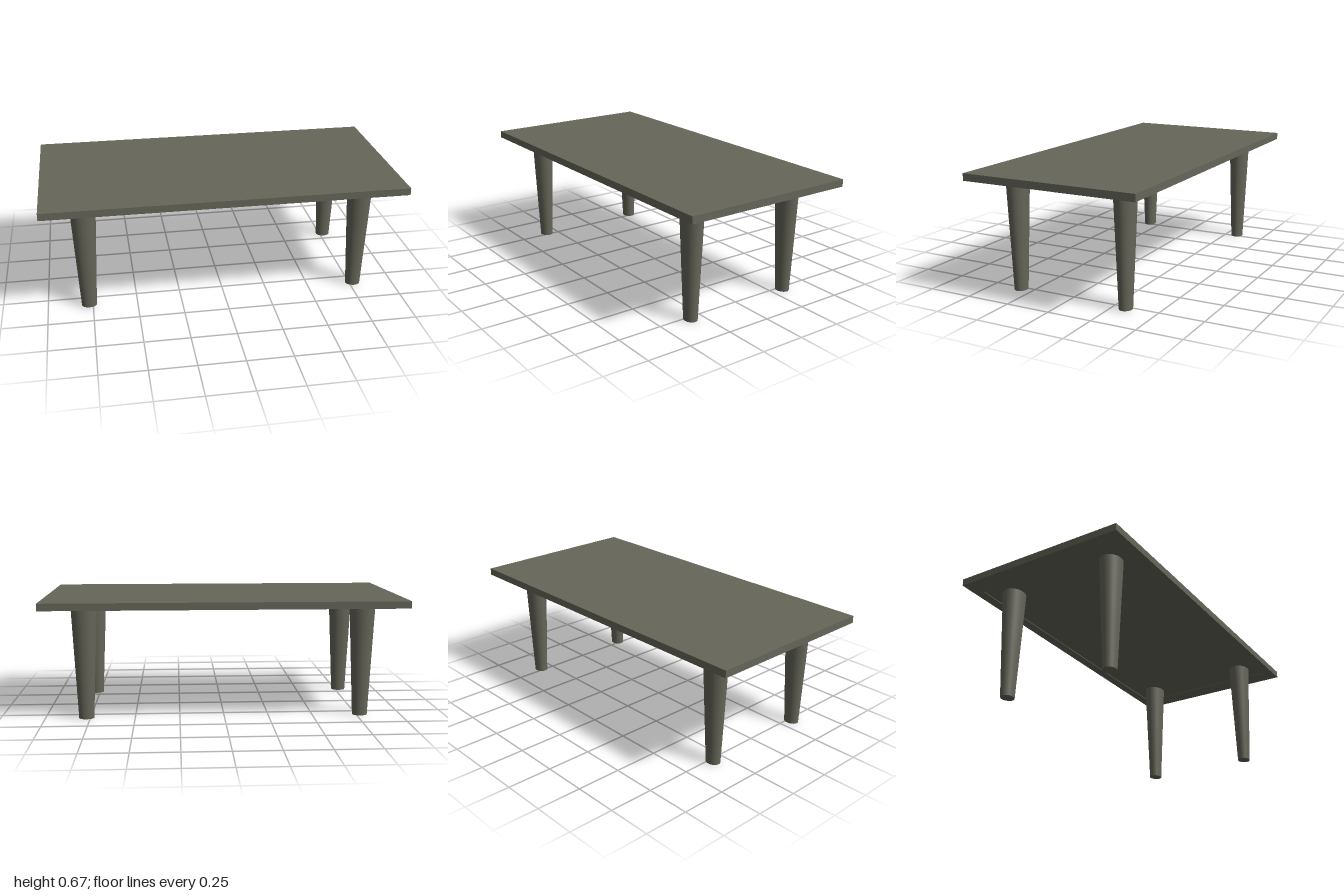
import * as THREE from 'three';

export function createModel() {
  const table = new THREE.Group();
  table.name = 'table';
  const material = new THREE.MeshStandardMaterial({ color: 0x66665a });

  const add = (geometry, name, x, y, z) => {
    const mesh = new THREE.Mesh(geometry, material);
    mesh.name = name;
    mesh.position.set(x, y, z);
    table.add(mesh);
    return mesh;
  };

  const under = 0.626, top = 0.666, recess = 0.004;

  // Slab of the table top
  add(new THREE.BoxGeometry(2, top - under - recess, 1), 'tableTop', 0, (top + under + recess) / 2, 0);

  // Shallow rim around the underside, leaving a slightly sunken panel
  const rim = new THREE.Shape([[-1, -0.5], [1, -0.5], [1, 0.5], [-1, 0.5]].map(([x, y]) => new THREE.Vector2(x, y)));
  const hx = 0.89, hz = 0.445;
  rim.holes.push(new THREE.Path([[-hx, -hz], [-hx, hz], [hx, hz], [hx, -hz]].map(([x, y]) => new THREE.Vector2(x, y))));
  const rimGeometry = new THREE.ExtrudeGeometry(rim, { depth: recess, bevelEnabled: false });
  rimGeometry.rotateX(-Math.PI / 2);
  add(rimGeometry, 'undersideRim', 0, under, 0);

  // Tapered legs with an oval section, each in an upper and a lower length
  const footR = 0.042, jointR = 0.0575, headR = 0.072, joint = 0.325;
  const head = under + recess;
  const lower = new THREE.CylinderGeometry(jointR, footR, joint, 32);
  const upper = new THREE.CylinderGeometry(headR, jointR, head - joint, 32);
  for (const g of [lower, upper]) g.scale(1, 1, 0.84);
  for (const [sx, side] of [[1, 'Left'], [-1, 'Right']]) {
    for (const [sz, end] of [[1, 'front'], [-1, 'back']]) {
      add(lower, `${end}${side}LowerLeg`, sx * 0.771, joint / 2, sz * 0.323);
      add(upper, `${end}${side}UpperLeg`, sx * 0.771, (joint + head) / 2, sz * 0.323);
    }
  }
  return table;
}
